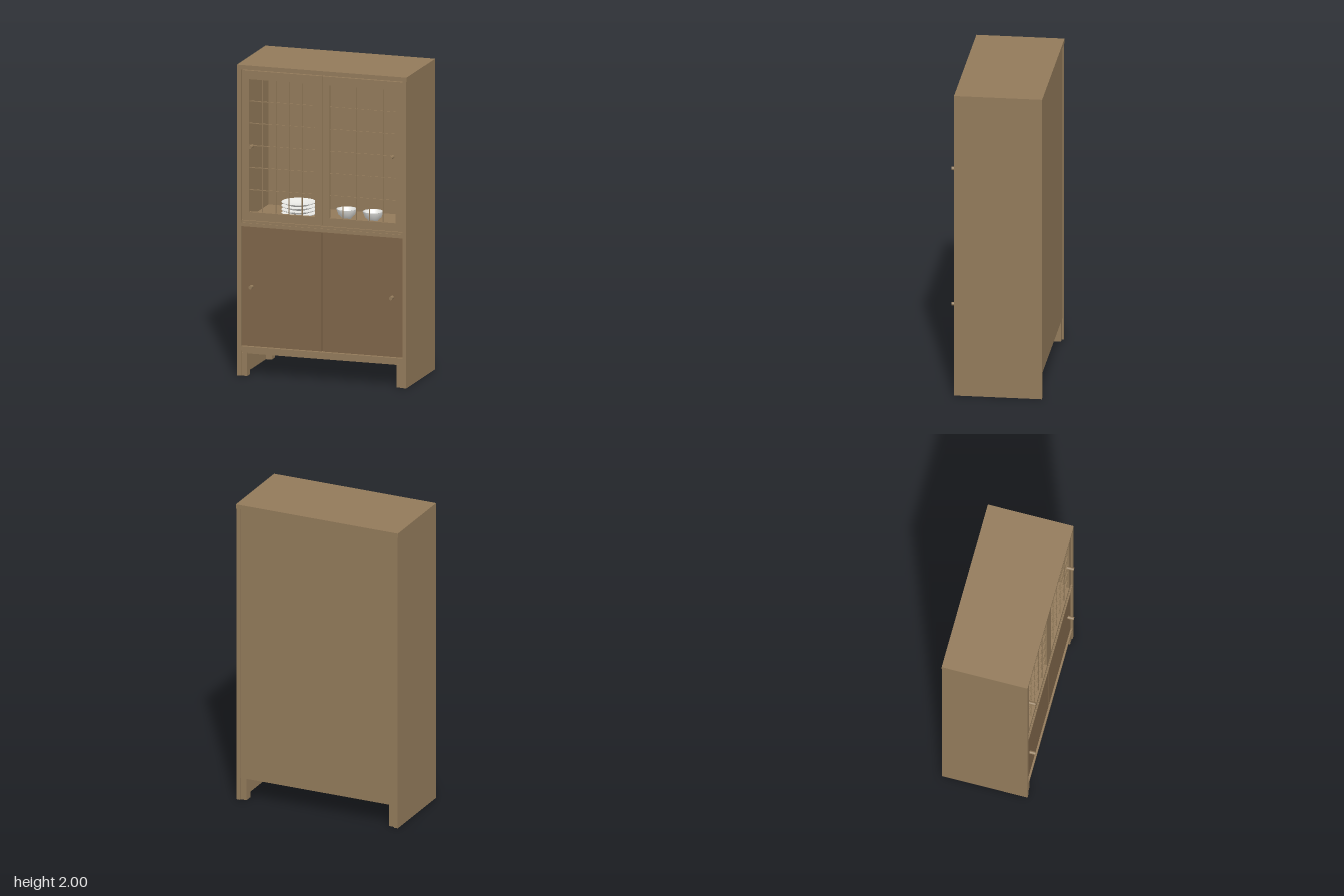
import * as THREE from 'three';

const wood = new THREE.MeshStandardMaterial({ color: 0x927a5a });
const darkWood = new THREE.MeshStandardMaterial({ color: 0x7d6448 });
const china = new THREE.MeshStandardMaterial({ color: 0xe8e8e4, side: THREE.DoubleSide });

// Box given by its min and max corners
function box(parent, name, [x0, y0, z0], [x1, y1, z1], material = wood) {
  const mesh = new THREE.Mesh(new THREE.BoxGeometry(x1 - x0, y1 - y0, z1 - z0), material);
  mesh.position.set((x0 + x1) / 2, (y0 + y1) / 2, (z0 + z1) / 2);
  mesh.name = name;
  parent.add(mesh);
  return mesh;
}

function lathe(parent, name, points, x, y, z) {
  const profile = points.map(([r, h]) => new THREE.Vector2(r, h));
  const mesh = new THREE.Mesh(new THREE.LatheGeometry(profile, 32), china);
  mesh.position.set(x, y, z);
  mesh.name = name;
  parent.add(mesh);
}

function knob(parent, x, y, z) {
  const length = 0.295 - z;
  const mesh = new THREE.Mesh(new THREE.CylinderGeometry(0.011, 0.011, length, 16), wood);
  mesh.rotation.x = Math.PI / 2;
  mesh.position.set(x, y, z + length / 2);
  mesh.name = 'knob';
  parent.add(mesh);
}

// Framed door with a fine lattice; side is -1 or 1
function latticeDoor(side) {
  const door = new THREE.Group();
  door.name = side > 0 ? 'leftLatticeDoor' : 'rightLatticeDoor';
  const inner = 0.048, outer = 0.486, low = 1.055, high = 1.91;
  const back = 0.235, front = 0.258;

  const outline = new THREE.Shape();
  outline.moveTo(0.001, 1.002);
  outline.lineTo(0.531, 1.002);
  outline.lineTo(0.531, 1.965);
  outline.lineTo(0.001, 1.965);
  const opening = new THREE.Path();
  opening.moveTo(inner, low);
  opening.lineTo(inner, high);
  opening.lineTo(outer, high);
  opening.lineTo(outer, low);
  outline.holes.push(opening);
  const frame = new THREE.Mesh(
    new THREE.ExtrudeGeometry(outline, { depth: front - back, bevelEnabled: false }), wood);
  frame.position.set(side > 0 ? 0 : -0.532, 0, back);
  frame.name = 'doorFrame';
  door.add(frame);

  const left = side > 0 ? inner : -outer, width = outer - inner, t = 0.0025;
  for (let i = 1; i < 5; i++) {
    const x = left + width * i / 5;
    box(door, 'verticalBar', [x - t, low, 0.244], [x + t, high, 0.25]);
  }
  for (let i = 1; i < 6; i++) {
    const y = low + (high - low) * i / 6;
    box(door, 'horizontalBar', [left, y - t, 0.244], [left + width, y + t, 0.25]);
  }
  // The frame is mirrored about the cabinet centre by its offset
  knob(door, side * 0.465, 1.48, 0.25);
  return door;
}

export function createModel() {
  const cabinet = new THREE.Group();
  cabinet.name = 'displayCabinet';

  // Carcass
  for (const s of [-1, 1]) {
    const xs = [s * 0.534, s * 0.56].sort((a, b) => a - b);
    box(cabinet, 'sidePanel', [xs[0], 0, -0.287], [xs[1], 1.995, 0.268]);
    // Leg blocks inside each side panel
    const lx = [s * 0.495, s * 0.534].sort((a, b) => a - b);
    box(cabinet, 'frontLeg', [lx[0], 0, 0.205], [lx[1], 0.15, 0.262]);
    box(cabinet, 'backLeg', [lx[0], 0, -0.275], [lx[1], 0.15, -0.215]);
  }
  box(cabinet, 'topPanel', [-0.562, 1.972, -0.289], [0.562, 2, 0.268]);
  box(cabinet, 'backPanel', [-0.534, 0.147, -0.28], [0.534, 1.972, -0.265]);
  box(cabinet, 'bottomBoard', [-0.534, 0.163, -0.265], [0.534, 0.19, 0.267]);
  box(cabinet, 'bottomRail', [-0.534, 0.145, -0.265], [0.534, 0.163, 0.26]);
  box(cabinet, 'middleBoard', [-0.534, 0.963, -0.265], [0.534, 0.985, 0.267]);
  box(cabinet, 'middleRail', [-0.534, 0.985, 0.23], [0.534, 1.0, 0.262]);

  // Lower solid doors
  for (const s of [-1, 1]) {
    const xs = [s * 0.004, s * 0.53].sort((a, b) => a - b);
    box(cabinet, 'lowerDoor', [xs[0], 0.193, 0.235], [xs[1], 0.96, 0.256], darkWood);
    knob(cabinet, s * 0.465, 0.577, 0.25);
    cabinet.add(latticeDoor(s));
  }
  // Filler closing the slit between the lower doors
  box(cabinet, 'doorStop', [-0.02, 0.19, 0.215], [0.02, 0.963, 0.234], darkWood);

  // Stack of plates
  const plate = [[0, 0], [0.06, 0], [0.108, 0.018], [0.108, 0.022], [0.06, 0.005], [0, 0.005]];
  for (let i = 0; i < 4; i++) lathe(cabinet, 'plate', plate, -0.25, 0.985 + i * 0.024, -0.02);

  // Two bowls
  const bowl = [[0, 0], [0.03, 0], [0.032, 0.008], [0.052, 0.026], [0.066, 0.062],
    [0.062, 0.062], [0.047, 0.029], [0.028, 0.013], [0, 0.011]];
  lathe(cabinet, 'bowl', bowl, 0.055, 0.985, -0.058);
  lathe(cabinet, 'bowl', bowl, 0.235, 0.985, -0.044);

  return cabinet;
}
